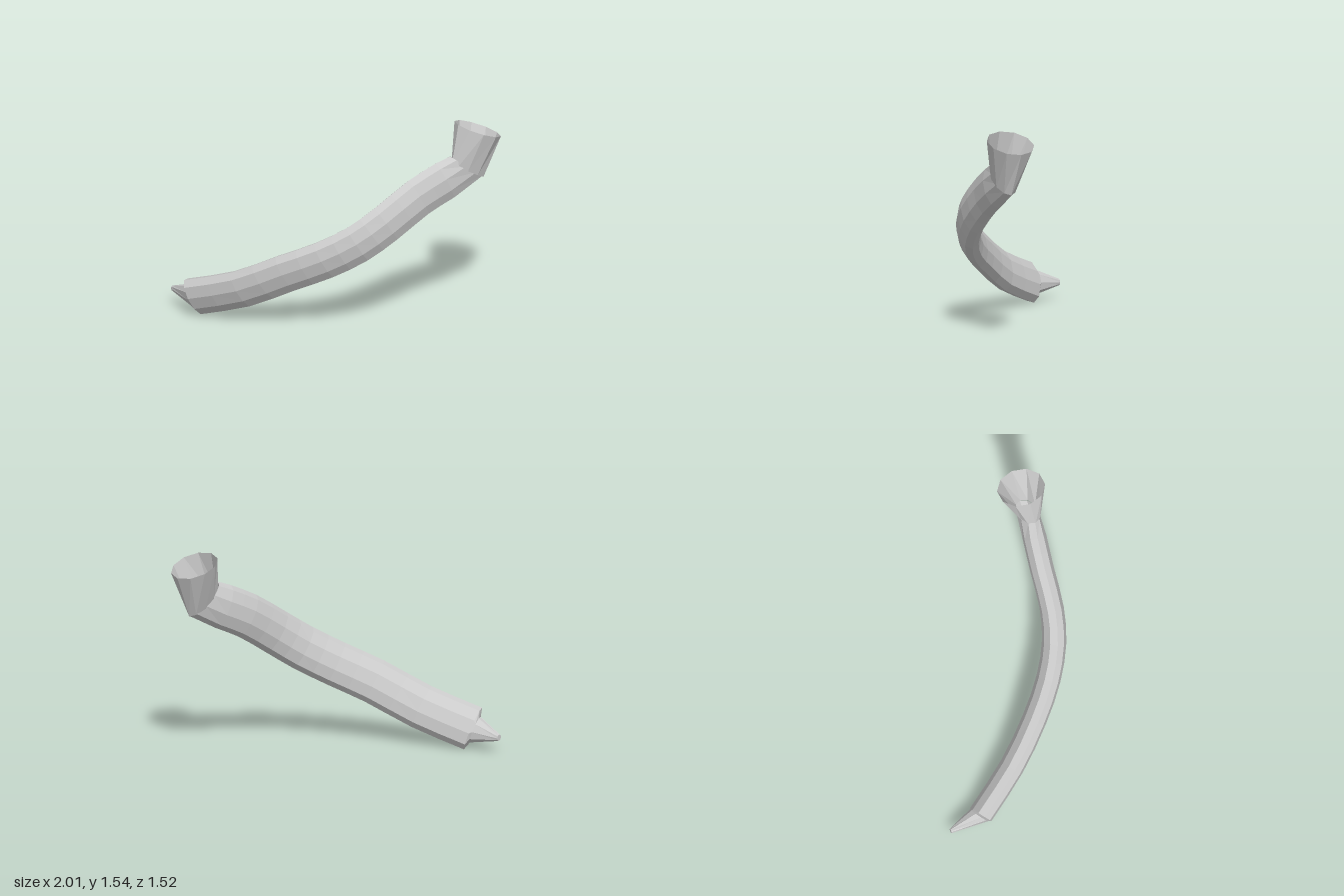
import * as THREE from 'three';

const SIDES = 10;
const V = (x, y, z) => new THREE.Vector3(x, y, z);

// Skin a list of elliptical rings { c: centre, u, v: half axes }.
function loft(name, rings, material, capStart = false) {
  const pos = [], idx = [];
  for (const { c, u, v } of rings) {
    for (let j = 0; j < SIDES; j++) {
      const a = (j / SIDES) * Math.PI * 2;
      pos.push(...c.clone().addScaledVector(u, Math.cos(a)).addScaledVector(v, Math.sin(a)).toArray());
    }
  }
  for (let i = 0; i < rings.length - 1; i++) {
    for (let j = 0; j < SIDES; j++) {
      const k = (j + 1) % SIDES;
      const a = i * SIDES + j, b = i * SIDES + k;
      idx.push(a, b, b + SIDES, a, b + SIDES, a + SIDES);
    }
  }
  if (capStart) for (let j = 1; j < SIDES - 1; j++) idx.push(0, j + 1, j);
  const indexed = new THREE.BufferGeometry();
  indexed.setAttribute('position', new THREE.Float32BufferAttribute(pos, 3));
  indexed.setIndex(idx);
  const geometry = indexed.toNonIndexed();
  geometry.computeVertexNormals();
  const mesh = new THREE.Mesh(geometry, material);
  mesh.name = name;
  return mesh;
}

// Ring square to a direction, its tall axis leaning up and to the right side.
function ringAt(c, dir, tall, thin) {
  const u = V(-0.5, 0.86, -0.05);
  u.addScaledVector(dir, -u.dot(dir)).normalize();
  const v = dir.clone().cross(u).normalize();
  return { c, u: u.multiplyScalar(tall), v: v.multiplyScalar(thin) };
}

export function createModel() {
  const group = new THREE.Group();
  group.name = 'curvedHorn';
  const material = new THREE.MeshStandardMaterial({
    color: 0xcccccc, flatShading: true, side: THREE.DoubleSide,
  });

  // Centre line of the flattened, curving body
  const curve = new THREE.CatmullRomCurve3([
    V(-0.91, 0.155, -0.51), V(-0.71, 0.29, -0.175), V(-0.5, 0.465, 0.1),
    V(-0.3, 0.595, 0.3), V(-0.1, 0.725, 0.435), V(0.1, 0.865, 0.505),
    V(0.355, 1.03, 0.54), V(0.56, 1.13, 0.575),
  ]);
  const rings = [];
  const STEPS = 14;
  for (let i = 0; i <= STEPS; i++) {
    const t = i / STEPS;
    rings.push(ringAt(curve.getPoint(t), curve.getTangent(t), 0.166, 0.086));
  }
  // Slanted joint under the funnel
  rings.push({ c: V(0.732, 1.215, 0.597), u: V(-0.138, 0.105, 0), v: V(0, 0, 0.075) });
  group.add(loft('body', rings, material));

  // Tapered tip with a shoulder joining the lower end of the body
  const tailDir = curve.getTangent(0);
  const shoulder = ringAt(V(-0.912, 0.15, -0.53), tailDir, 0.102, 0.078);
  const point = { c: V(-0.933, 0.132, -0.765), u: V(-0.008, 0.023, 0), v: V(-0.017, -0.006, 0) };
  group.add(loft('tip', [point, shoulder, rings[0]], material, true));

  // Open funnel, flattened at the joint and round at the mouth
  group.add(loft('funnel', [
    { c: V(0.737, 1.185, 0.603), u: V(-0.134, 0.078, 0), v: V(0, 0, 0.078) },
    { c: V(0.833, 1.485, 0.59), u: V(-0.166, 0.065, 0), v: V(0, 0, 0.177) },
  ], material));

  return group;
}
